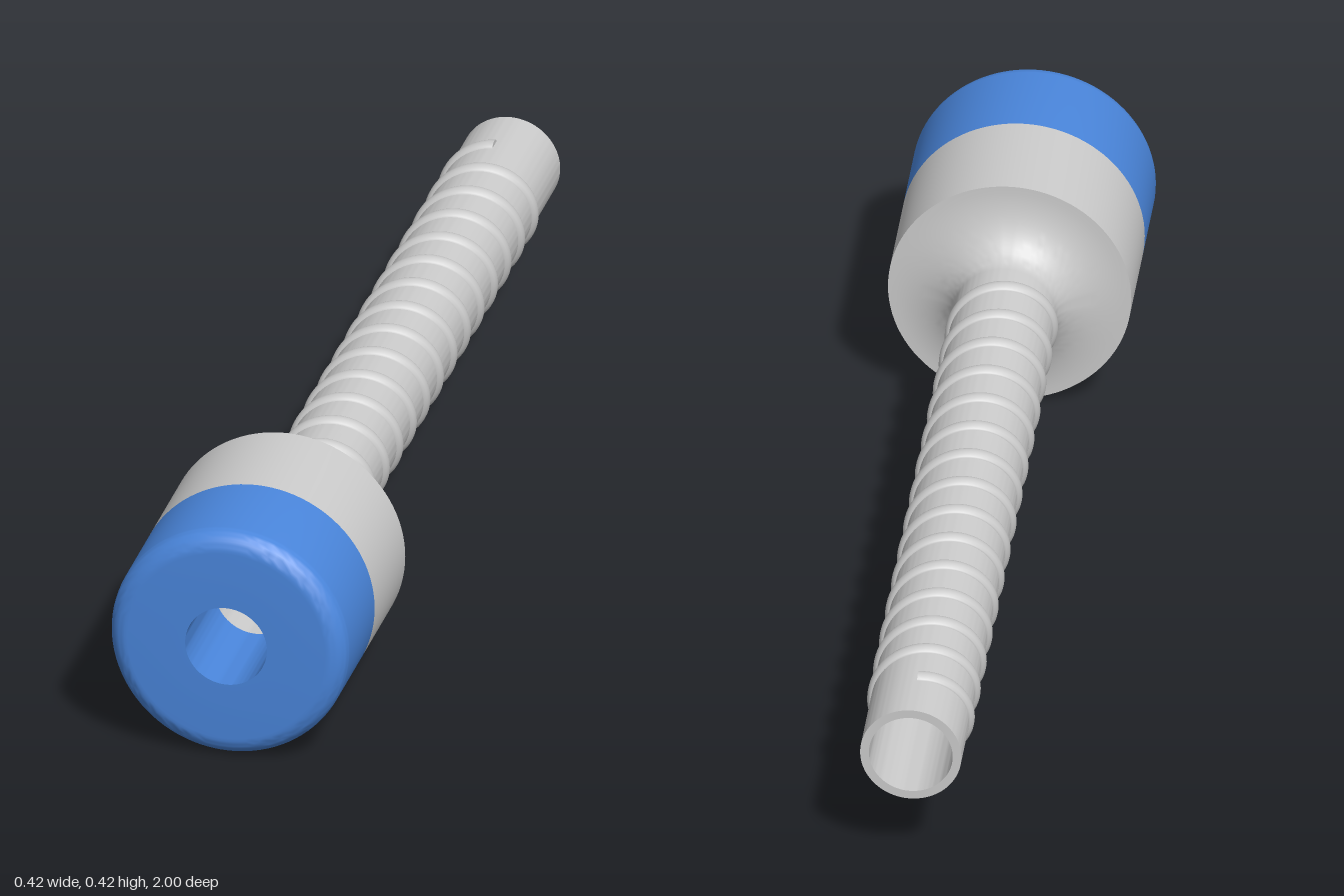
import * as THREE from 'three';
import { toCreasedNormals } from 'three/addons/utils/BufferGeometryUtils.js';

const AXIS_Y = 0.209, HEAD_R = 0.209, TUBE_R = 0.087, BORE_R = 0.072;

// Closed ring turned around the z axis; points are [radius, z], outside first from back to front
function turned(name, points, color) {
  const closed = [...points, points[0]].map(([r, z]) => new THREE.Vector2(r, z));
  const geometry = new THREE.LatheGeometry(closed, 96).rotateX(Math.PI / 2);
  return part(name, toCreasedNormals(geometry, 0.5), color);
}

function part(name, geometry, color = 0xcccccc) {
  const mesh = new THREE.Mesh(geometry, new THREE.MeshStandardMaterial({ color }));
  mesh.name = name;
  return mesh;
}

// Quarter ellipse as [radius, z] points
function arc(cr, cz, rr, rz, from, to, steps = 10) {
  return Array.from({ length: steps + 1 }, (_, i) => {
    const a = from + (to - from) * i / steps;
    return [cr + rr * Math.cos(a), cz + rz * Math.sin(a)];
  });
}

// Raised spiral rib: a cylinder bent along a helix, with an elliptical section and capped ends
function spiralRib() {
  const turns = 14.4, pitch = 0.095, startZ = -0.885;
  const geometry = new THREE.CylinderGeometry(1, 1, 1, 14, 900);
  const pos = geometry.attributes.position;
  for (let i = 0; i < pos.count; i++) {
    const t = (pos.getY(i) + 0.5) * turns, a = t * Math.PI * 2;
    const r = 0.0855 + 0.0095 * pos.getX(i);
    pos.setXYZ(i, -r * Math.sin(a), r * Math.cos(a), startZ + pitch * t + 0.015 * pos.getZ(i));
  }
  geometry.computeVertexNormals();
  return part('spiralRib', geometry);
}

export function createModel() {
  const model = new THREE.Group();
  const body = new THREE.Group();
  body.name = 'tubeWithHead';
  body.position.y = AXIS_Y;

  // Hollow tube flaring into the rear half of the head
  body.add(turned('tubeAndCollar', [
    [BORE_R, -1], [TUBE_R, -1],
    ...arc(HEAD_R, 0.505, HEAD_R - TUBE_R, 0.07, Math.PI, Math.PI / 2, 14),
    [HEAD_R, 0.79], [BORE_R, 0.79],
  ]));

  // Coloured front cap with a rounded rim
  body.add(turned('frontCap', [
    [BORE_R, 0.79], [HEAD_R, 0.79],
    ...arc(HEAD_R - 0.035, 0.965, 0.035, 0.035, 0, Math.PI / 2),
    [BORE_R, 1],
  ], 0x4a86dc));

  body.add(spiralRib());
  model.add(body);
  return model;
}
